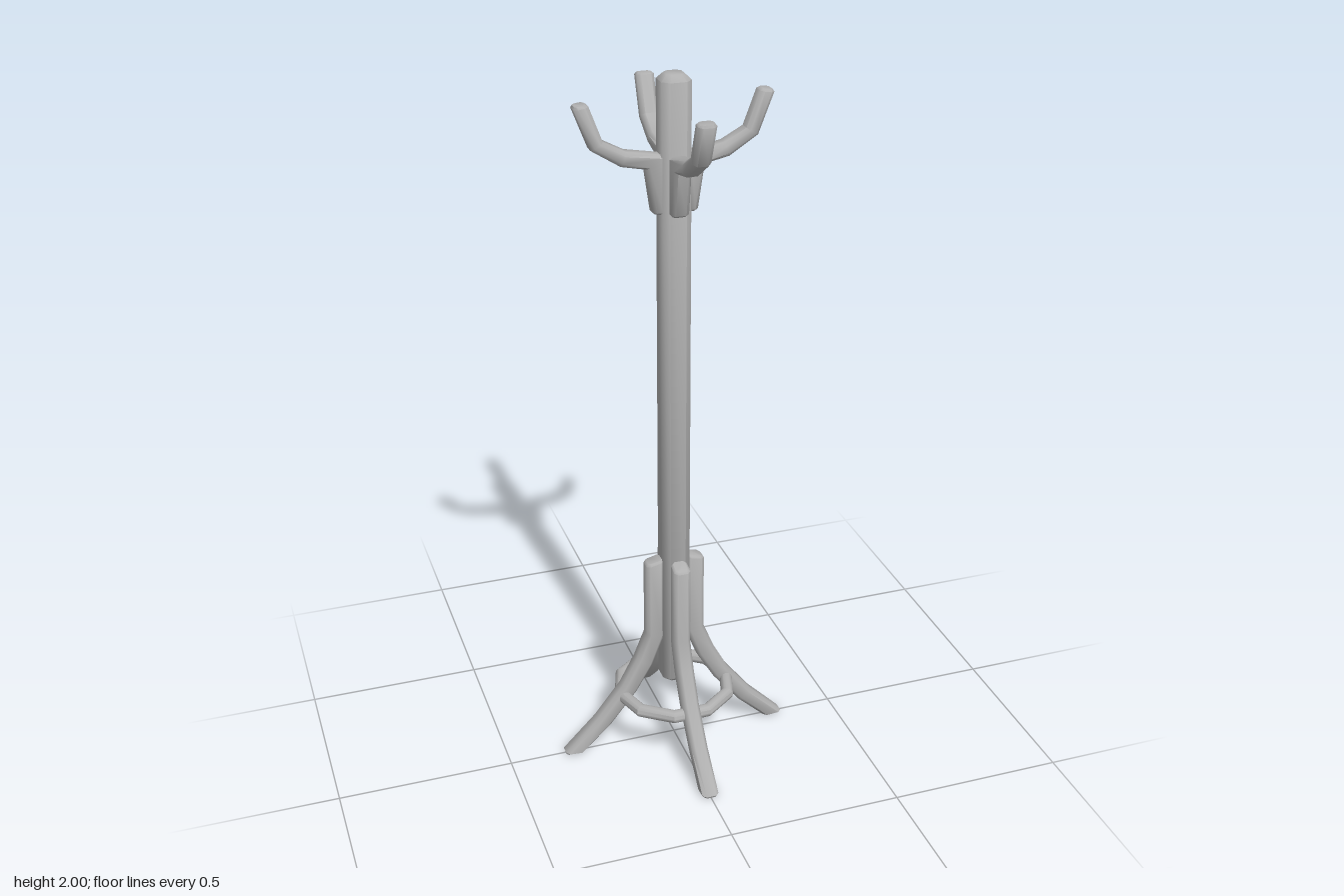
import * as THREE from 'three';
import { toCreasedNormals } from 'three/addons/utils/BufferGeometryUtils.js';

// Bar with a chamfered rectangular section. Each station, listed from the top down,
// is [innerX, innerY, outerX, outerY]; the bar is halfWidth deep to either side in z.
function bar(stations, halfWidth, chamfer, bevel) {
  const rings = stations.map((s) => ({ s, inset: 0 }));
  const step = (a, b) => {
    const len = Math.hypot((b[0] + b[2] - a[0] - a[2]) / 2, (b[1] + b[3] - a[1] - a[3]) / 2);
    return a.map((v, i) => v + ((b[i] - v) * bevel) / len);
  };
  // bevelled ends: a shrunken ring at the tip, a full ring just behind it
  const n = stations.length;
  rings[0] = { s: step(stations[0], stations[1]), inset: 0 };
  rings[n - 1] = { s: step(stations[n - 1], stations[n - 2]), inset: 0 };
  rings.unshift({ s: stations[0], inset: bevel });
  rings.push({ s: stations[n - 1], inset: bevel });

  const positions = [];
  const indices = [];
  for (const { s, inset } of rings) {
    const [ix, iy, ox, oy] = s;
    const len = Math.hypot(ox - ix, oy - iy);
    const lo = inset, hi = len - inset, w = halfWidth - inset;
    const c = inset ? chamfer * 0.6 : chamfer;
    const section = [
      [lo + c, -w], [hi - c, -w], [hi, c - w], [hi, w - c],
      [hi - c, w], [lo + c, w], [lo, w - c], [lo, c - w],
    ];
    for (const [t, z] of section) {
      positions.push(ix + ((ox - ix) * t) / len, iy + ((oy - iy) * t) / len, z);
    }
  }
  for (let i = 0; i < rings.length - 1; i++) {
    for (let j = 0; j < 8; j++) {
      const a = i * 8 + j, b = i * 8 + ((j + 1) % 8);
      indices.push(a, b, a + 8, b, b + 8, a + 8);
    }
  }
  const last = (rings.length - 1) * 8;
  for (let j = 1; j < 7; j++) {
    indices.push(0, j + 1, j, last, last + j, last + j + 1);
  }
  const geometry = new THREE.BufferGeometry();
  geometry.setAttribute('position', new THREE.Float32BufferAttribute(positions, 3));
  geometry.setIndex(indices);
  return toCreasedNormals(geometry, THREE.MathUtils.degToRad(50));
}

export function createModel() {
  const group = new THREE.Group();
  group.name = 'coatStand';
  const grey = new THREE.MeshStandardMaterial({ color: 0xb0b0b0 });
  grey.name = 'plain grey';

  const add = (geometry, name) => {
    const mesh = new THREE.Mesh(geometry, grey);
    mesh.name = name;
    group.add(mesh);
    return mesh;
  };

  // Central pole
  add(bar([[-0.04, 2, 0.04, 2], [-0.04, 0.2, 0.04, 0.2]], 0.04, 0.018, 0.016), 'pole');

  // Four upturned hooks and four splayed legs around the pole
  const hook = bar([
    [0.227, 1.943, 0.266, 1.938],
    [0.19, 1.845, 0.222, 1.825],
    [0.13, 1.813, 0.145, 1.776],
    [0.03, 1.795, 0.078, 1.762],
    [0.026, 1.64, 0.06, 1.64],
  ], 0.024, 0.01, 0.006);
  const leg = bar([
    [0.035, 0.615, 0.086, 0.602],
    [0.035, 0.358, 0.086, 0.37],
    [0.07, 0.265, 0.118, 0.29],
    [0.12, 0.18, 0.163, 0.205],
    [0.2, 0.08, 0.24, 0.106],
    [0.285, 0, 0.342, 0.003],
  ], 0.024, 0.01, 0.006);
  ['left', 'back', 'right', 'front'].forEach((side, i) => {
    add(hook, side + 'Hook').rotation.y = (i * Math.PI) / 2;
    add(leg, side + 'Leg').rotation.y = (i * Math.PI) / 2;
  });

  // Ten-sided ring bracing the legs
  const ring = new THREE.TorusGeometry(0.163, 0.019, 12, 10).rotateX(Math.PI / 2);
  ring.translate(0, 0.17, 0);
  add(toCreasedNormals(ring, THREE.MathUtils.degToRad(33)), 'braceRing');

  return group;
}
